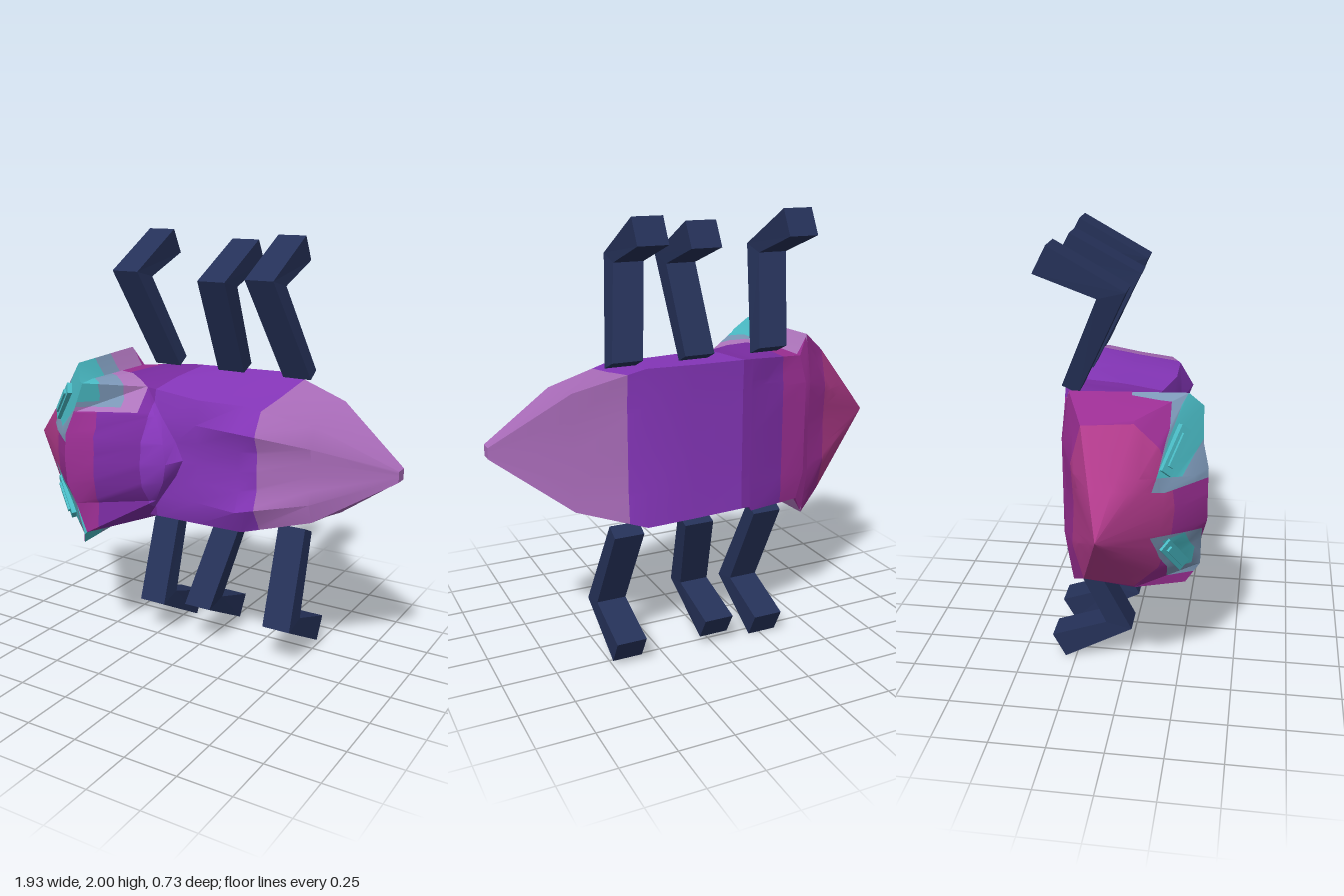
import * as THREE from 'three';
import { toCreasedNormals } from 'three/addons/utils/BufferGeometryUtils.js';

const colours = {
  pink: 0xb03a8a, magenta: 0x9a2e92, thoraxViolet: 0x7a2ca2, violet: 0x8636ba, lilac: 0xaa6cba,
  navy: 0x253158, teal: 0x4abcc6, greyBlue: 0x7c98b8, mauve: 0xb076be,
};
const mats = {};
for (const [name, color] of Object.entries(colours)) {
  mats[name] = new THREE.MeshStandardMaterial({ color });
  mats[name].name = name;
}

// Half rings [x, y, z] run from front centre over the top to back centre.
const fullRing = (half) => {
  const pts = half.map((p) => new THREE.Vector3(...p));
  const mirrored = pts.slice(1, -1).reverse().map((p) => new THREE.Vector3(p.x, 2 * pts[0].y - p.y, p.z));
  return [...pts, ...mirrored];
};
const dot = (x, y, z) => fullRing(Array.from({ length: 8 }, () => [x, y, z]));

function loft(rings) {
  const tris = [];
  for (let r = 0; r < rings.length - 1; r++) {
    const A = rings[r], B = rings[r + 1], n = A.length;
    for (let i = 0; i < n; i++) {
      const j = (i + 1) % n;
      tris.push([A[i], B[i], B[j]], [A[i], B[j], A[j]]);
    }
  }
  return tris;
}

// Keep the part of a polygon where sign * f >= 0.
function clip(poly, f, sign) {
  const out = [];
  poly.forEach((p, i) => {
    const q = poly[(i + 1) % poly.length], a = sign * f(p), b = sign * f(q);
    if (a >= 0) out.push(p);
    if ((a > 0 && b < 0) || (a < 0 && b > 0)) out.push(p.clone().lerp(q, a / (a - b)));
  });
  return out.length > 2 ? out : null;
}

// Convex region in x and y as a list of inside tests.
function region(points, ...extra) {
  const v = points.map((p) => new THREE.Vector2(...p));
  const s = Math.sign(THREE.ShapeUtils.area(v));
  const tests = v.map((a, i) => {
    const b = v[(i + 1) % v.length];
    return (p) => s * ((b.x - a.x) * (p.y - a.y) - (b.y - a.y) * (p.x - a.x));
  });
  return [...tests, ...extra];
}
const leftOf = (x) => [(p) => x - p.x];

// Cut a surface into flat colour zones; the first matching zone wins.
function paint(group, name, tris, zones) {
  let rest = tris;
  for (const [colour, tests] of zones) {
    const inside = [], outside = [];
    for (const t of rest) {
      let poly = t;
      for (const f of tests) {
        const out = clip(poly, f, -1);
        if (out) outside.push(out);
        poly = clip(poly, f, 1);
        if (!poly) break;
      }
      if (poly) inside.push(poly);
    }
    rest = outside;
    const pos = [];
    for (const p of inside) {
      for (let i = 1; i < p.length - 1; i++) {
        const n = new THREE.Triangle(p[0], p[i], p[i + 1]);
        if (n.getArea() > 1e-7) for (const q of [p[0], p[i], p[i + 1]]) pos.push(q.x, q.y, q.z);
      }
    }
    if (!pos.length) continue;
    const geo = new THREE.BufferGeometry();
    geo.setAttribute('position', new THREE.Float32BufferAttribute(pos, 3));
    const mesh = new THREE.Mesh(toCreasedNormals(geo, 0.6), mats[colour]);
    mesh.name = name + colour[0].toUpperCase() + colour.slice(1);
    group.add(mesh);
  }
}

// A leg bent at the knee, leaning along x; dir is up or down.
function leg(dir, hipX, lean, length) {
  const hipY = dir > 0 ? 1.355 : 0.635;
  const outline = [[-0.2, 0], [0.02, 0.465], [-0.3, 0.645], [-0.36, 0.53], [-0.1, 0.435], [-0.27, 0.035]];
  const shape = new THREE.Shape(outline.map(([z, h]) => new THREE.Vector2(z, hipY + dir * h * length / 0.645)));
  const geo = new THREE.ExtrudeGeometry(shape, { depth: 0.14, bevelEnabled: false });
  geo.translate(0, 0, -0.07).rotateY(-Math.PI / 2);
  const pos = geo.attributes.position;
  for (let i = 0; i < pos.count; i++) {
    const t = Math.min(1, Math.abs(pos.getY(i) - hipY) / 0.45);
    pos.setX(i, pos.getX(i) + hipX + lean * t);
  }
  geo.computeVertexNormals();
  const mesh = new THREE.Mesh(geo, mats.navy);
  mesh.name = dir > 0 ? 'upperLeg' : 'lowerLeg';
  return mesh;
}

// A slim raised eye lying on the slope of the head.
function eye(dir) {
  const group = new THREE.Group();
  group.name = dir > 0 ? 'upperEye' : 'lowerEye';
  const n = new THREE.Vector3(-0.64, 0.19 * dir, 0.74).normalize();
  const long = new THREE.Vector3(0.13, 0.16 * dir, 0.07);
  long.addScaledVector(n, -long.dot(n)).normalize();
  const side = new THREE.Vector3().crossVectors(n, long);
  group.quaternion.setFromRotationMatrix(new THREE.Matrix4().makeBasis(long, side, n));
  group.position.set(-0.6, 0.98 + 0.235 * dir, 0.232).addScaledVector(n, 0.008);
  for (const [l, w, h] of [[0.21, 0.06, 0.025], [0.15, 0.025, 0.045]]) {
    const mesh = new THREE.Mesh(new THREE.BoxGeometry(l, w, h), mats.teal);
    mesh.name = 'eyePlate';
    group.add(mesh);
  }
  return group;
}

export function createModel() {
  const model = new THREE.Group();
  model.name = 'beetle';

  // Head, flaring back from a point to a wide rim
  const nose = dot(-0.97, 0.965, -0.03);
  const cheek = fullRing([[-0.7, 0.97, 0.2], [-0.7, 1.06, 0.19], [-0.69, 1.14, 0.18], [-0.65, 1.24, 0.18],
    [-0.64, 1.35, 0.08], [-0.65, 1.32, -0.14], [-0.66, 1.15, -0.18], [-0.66, 0.97, -0.17]]);
  const rim = fullRing([[-0.51, 0.98, 0.37], [-0.5, 1.1, 0.37], [-0.47, 1.2, 0.345], [-0.43, 1.35, 0.34],
    [-0.48, 1.42, 0.28], [-0.52, 1.42, -0.21], [-0.53, 1.2, -0.24], [-0.53, 0.98, -0.23]]);
  const neck = fullRing([[-0.51, 0.98, 0.37], [-0.5, 1.1, 0.37], [-0.47, 1.2, 0.345], [-0.42, 1.34, 0.335],
    [-0.43, 1.345, 0.25], [-0.47, 1.33, -0.24], [-0.5, 1.2, -0.25], [-0.5, 0.98, -0.25]]);

  // Thorax shield with a pointed overhang, then the abdomen
  const shield = fullRing([[-0.03, 0.99, 0.25], [-0.05, 1.08, 0.24], [-0.12, 1.19, 0.195], [-0.21, 1.31, 0.13],
    [-0.21, 1.33, 0], [-0.2, 1.35, -0.29], [-0.2, 1.2, -0.285], [-0.2, 0.99, -0.285]]);
  const under = fullRing([[0.02, 1, 0.18], [-0.02, 1.08, 0.175], [-0.1, 1.19, 0.17], [-0.2, 1.31, 0.13],
    [-0.2, 1.33, 0], [-0.19, 1.35, -0.29], [-0.19, 1.2, -0.285], [-0.19, 1, -0.285]]);
  const waist = fullRing([[0.1, 1, 0.185], [0.1, 1.09, 0.18], [0.1, 1.18, 0.2], [0.1, 1.29, 0.175],
    [0.1, 1.32, -0.03], [0.1, 1.355, -0.3], [0.1, 1.2, -0.295], [0.1, 1, -0.295]]);
  const hips = fullRing([[0.32, 1, 0.205], [0.32, 1.09, 0.2], [0.32, 1.18, 0.235], [0.32, 1.29, 0.17],
    [0.32, 1.32, -0.05], [0.32, 1.36, -0.3], [0.32, 1.2, -0.29], [0.32, 1, -0.29]]);
  const rump = fullRing([[0.63, 1.005, 0.12], [0.63, 1.07, 0.12], [0.63, 1.13, 0.135], [0.63, 1.22, 0.1],
    [0.63, 1.24, -0.06], [0.63, 1.27, -0.23], [0.63, 1.15, -0.22], [0.63, 1.005, -0.22]]);
  const tail = fullRing([[0.965, 1.015, -0.04], [0.965, 1.02, -0.04], [0.965, 1.03, -0.04], [0.965, 1.04, -0.04],
    [0.965, 1.04, -0.07], [0.965, 1.04, -0.1], [0.965, 1.03, -0.1], [0.965, 1.015, -0.1]]);

  // Colour bands along the body
  const bands = [['pink', leftOf(-0.65)], ['magenta', leftOf(-0.37)], ['thoraxViolet', leftOf(-0.15)],
    ['violet', leftOf(0.4)], ['lilac', []]];
  // Eye surrounds on the head
  const surrounds = [
    ['teal', region([[-0.7, 1.13], [-0.6, 1.1], [-0.45, 1.23], [-0.41, 1.35], [-0.47, 1.43], [-0.52, 1.38]],
      (p) => p.z - 0.1)],
    ['greyBlue', region([[-0.73, 1.08], [-0.68, 1.06], [-0.45, 1.06], [-0.4, 1.35], [-0.47, 1.45], [-0.53, 1.4]],
      (p) => p.z - 0.05)],
    ['teal', region([[-0.68, 0.84], [-0.59, 0.84], [-0.49, 0.72], [-0.48, 0.64], [-0.54, 0.65]], (p) => p.z - 0.1)],
    ['greyBlue', region([[-0.74, 0.88], [-0.5, 0.82], [-0.41, 0.64], [-0.45, 0.58], [-0.54, 0.6], [-0.67, 0.76]],
      (p) => p.z - 0.05)],
  ];
  // Patch running from the upper eye onto the thorax
  const strip = (x, y) => region([[-0.52, y], [x, y], [x, 1.45], [-0.52, 1.45]]);
  const patch = [
    ['teal', [...strip(-0.37, 1.25), (p) => p.z - 0.55 - 0.75 * p.x]],
    ['greyBlue', [...strip(-0.28, 1.225), (p) => p.z - 0.43 - 0.8 * p.x]],
    ['mauve', [...strip(-0.2, 1.205), (p) => p.z - 0.25 - 0.6 * p.x]],
  ];
  const rimZones = [['teal', [(p) => p.z - 0.14]], ['greyBlue', [(p) => p.z]],
    ['mauve', [(p) => p.z + 0.215]], ['magenta', []]];

  paint(model, 'head', loft([nose, cheek, rim]), [...surrounds, ...bands]);
  paint(model, 'headRim', loft([rim, neck]), rimZones);
  paint(model, 'thorax', loft([neck, shield, under]), [...patch, ...bands]);
  paint(model, 'abdomen', loft([under, waist, hips, rump, tail, dot(0.965, 1.015, -0.07)]), bands);

  model.add(eye(1), eye(-1));

  // Three legs on each flank: direction, hip x, lean, length
  for (const spec of [[1, -0.3, -0.095, 0.645], [1, 0.055, 0.015, 0.61], [1, 0.4, -0.09, 0.635],
    [-1, -0.3, 0.035, 0.635], [-1, 0.06, -0.065, 0.59], [-1, 0.395, 0.035, 0.61]]) model.add(leg(...spec));

  return model;
}
